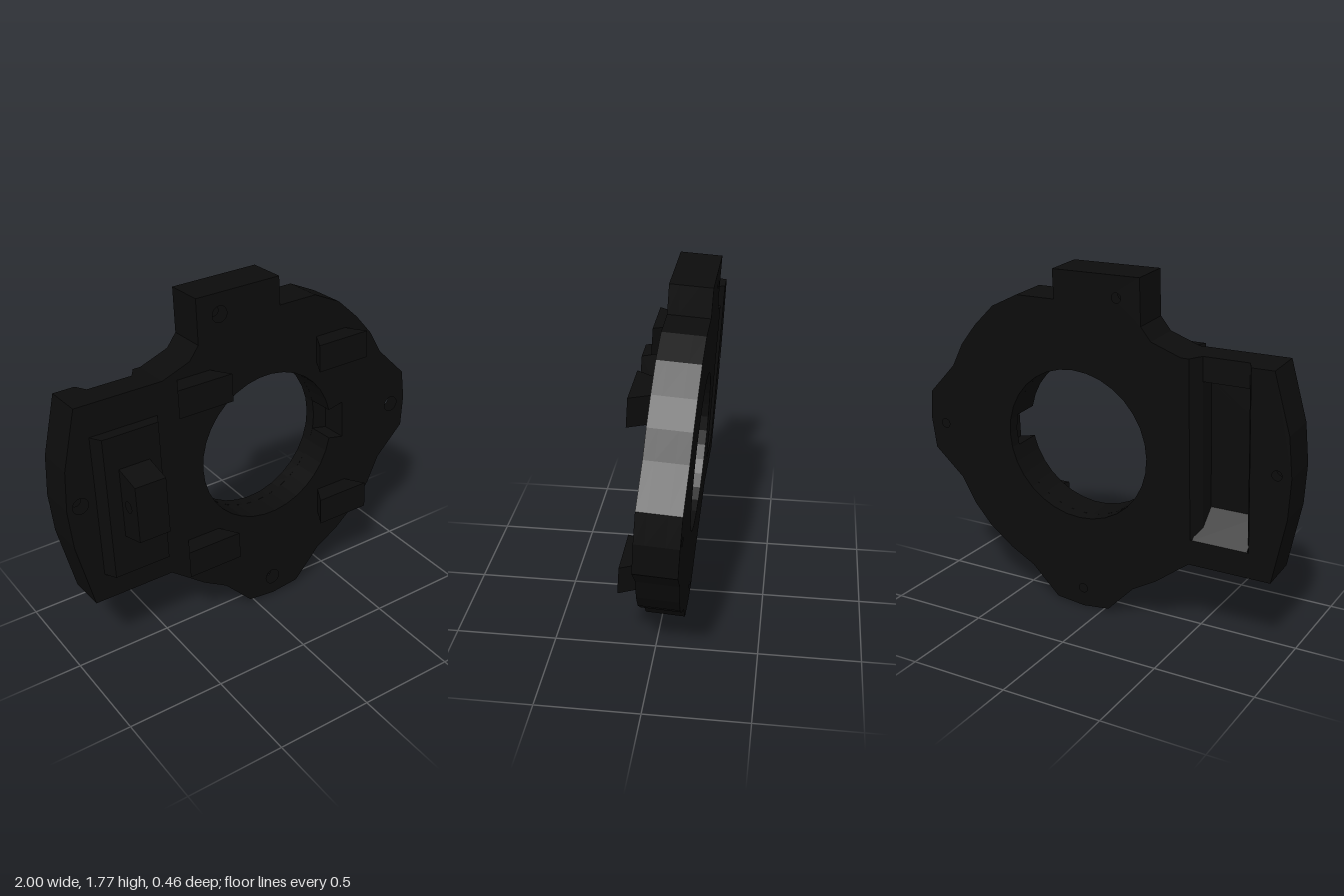
import * as THREE from 'three';

const black = new THREE.MeshStandardMaterial({ color: 0x0c0c0c });
black.name = 'matte black';

const toShape = (pts) => new THREE.Shape(pts.map(([x, y]) => new THREE.Vector2(x, y)));
const extrude = (shape, depth) => new THREE.ExtrudeGeometry(shape, { depth, bevelEnabled: false, curveSegments: 12 });

// Prism with an x/z cross-section, running from y0 to y1
function prismY(pts, y0, y1) {
  return extrude(toShape(pts.map(([x, z]) => [x, -z])), y1 - y0).rotateX(-Math.PI / 2).translate(0, y0, 0);
}

// Prism with a z/y cross-section, running from x0 to x1, with an optional round hole [z, y, r]
function prismX(pts, x0, x1, hole) {
  const shape = toShape(pts.map(([z, y]) => [-z, y]));
  if (hole) shape.holes.push(circle(-hole[0], hole[1], hole[2]));
  return extrude(shape, x1 - x0).rotateY(Math.PI / 2).translate(x0, 0, 0);
}

function circle(x, y, r) {
  return new THREE.Path().absarc(x, y, r, 0, Math.PI * 2, true);
}

// Large central opening, with an optional keyway on the left side
function opening(keyway) {
  const cx = 0.113, cy = 0.896, r = 0.387, n = 32, a = keyway ? 0.21 : 0;
  const at = (rad, t) => new THREE.Vector2(cx + rad * Math.cos(t), cy + rad * Math.sin(t));
  const pts = [];
  for (let i = 0; i <= n - (keyway ? 0 : 1); i++) pts.push(at(r, a + (i / n) * (Math.PI * 2 - 2 * a)));
  if (keyway) pts.push(at(0.475, -a), at(0.475, a));
  return new THREE.Path(pts);
}

// Plate outline, clockwise from the top tab to the side wing
const outline = [
  [-0.26, 1.765], [0.2, 1.765], [0.2, 1.62], [0.41, 1.62], [0.555, 1.55], [0.67, 1.44], [0.76, 1.33],
  [0.825, 1.21], [0.98, 1.05], [0.995, 0.9], [0.98, 0.74], [0.825, 0.595], [0.755, 0.46], [0.665, 0.35],
  [0.54, 0.25], [0.41, 0.175], [0.265, 0.025], [0.11, 0.008], [-0.035, 0.025], [-0.18, 0.175], [-0.31, 0.25],
  [-0.42, 0.335], [-0.49, 0.388], [-0.91, 0.388], [-0.985, 0.73], [-1, 0.93], [-0.985, 1.13], [-0.91, 1.42],
];
const shoulder = [[-0.46, 1.42], [-0.31, 1.475], [-0.26, 1.54]];
const channel = [[-0.8, 1.42], [-0.8, 0.52], [-0.5, 0.52], [-0.5, 1.42]];
const screws = [[-0.137, 1.66], [-0.93, 0.935], [0.11, 0.11], [0.905, 0.885]];

export function createModel() {
  const model = new THREE.Group();
  model.name = 'mountingPlate';
  const body = new THREE.Group();
  body.name = 'tiltedBody';
  body.position.set(0, 0.006, 0.083);
  body.rotation.x = -0.063;
  model.add(body);

  const add = (name, geometry) => {
    const mesh = new THREE.Mesh(geometry, black);
    mesh.name = name;
    body.add(mesh);
  };

  // One layer of the plate between two depths
  function layer(name, pts, z0, z1, keyway, screwRadius, extraHole) {
    const shape = toShape(pts);
    shape.holes.push(opening(keyway));
    for (const [x, y] of screws) shape.holes.push(circle(x, y, screwRadius));
    if (extraHole) shape.holes.push(new THREE.Path(extraHole.map(([x, y]) => new THREE.Vector2(x, y))));
    add(name, extrude(shape, z1 - z0).translate(0, 0, z0));
  }

  const whole = [...outline, ...shoulder];
  const pocket = [[-0.77, 0.52], [-0.54, 0.52], [-0.54, 1.3], [-0.77, 1.3]];
  layer('frontPlate', whole, -0.05, 0, true, 0.04);
  layer('middlePlate', whole, -0.14, -0.05, true, 0.024, pocket);
  layer('backPlate', [...outline, ...channel, ...shoulder], -0.2, -0.14, false, 0.024);

  // Sloping walls of the back channel and the ramp at its lower end
  add('channelWallOuter', prismY([[-0.8, -0.2], [-0.8, -0.14], [-0.77, -0.14]], 0.52, 1.42));
  add('channelWallInner', prismY([[-0.5, -0.2], [-0.5, -0.14], [-0.54, -0.14]], 0.52, 1.42));
  add('channelRamp', prismX([[-0.2, 0.52], [-0.05, 0.52], [-0.05, 0.64]], -0.79, -0.51));

  // Raised cover in front of the channel
  add('raisedCover', prismY([[-0.85, 0], [-0.82, 0.06], [-0.53, 0.06], [-0.5, 0]], 0.53, 1.26));

  // Lug with a cross hole
  add('pivotLug', prismX([[0.05, 0.733], [0.06, 0.735], [0.202, 0.771], [0.2, 1.056], [0.06, 1.09], [0.05, 1.092]],
    -0.75, -0.59, [0.12, 0.92, 0.028]));

  // Four dovetail pads, wider at the front
  for (const cx of [-0.295, 0.505]) {
    for (const y of [0.395, 1.262]) {
      add('dovetailPad', prismY([[cx - 0.09, 0], [cx - 0.147, 0.1], [cx + 0.147, 0.1], [cx + 0.09, 0]], y, y + 0.14));
    }
  }
  return model;
}
